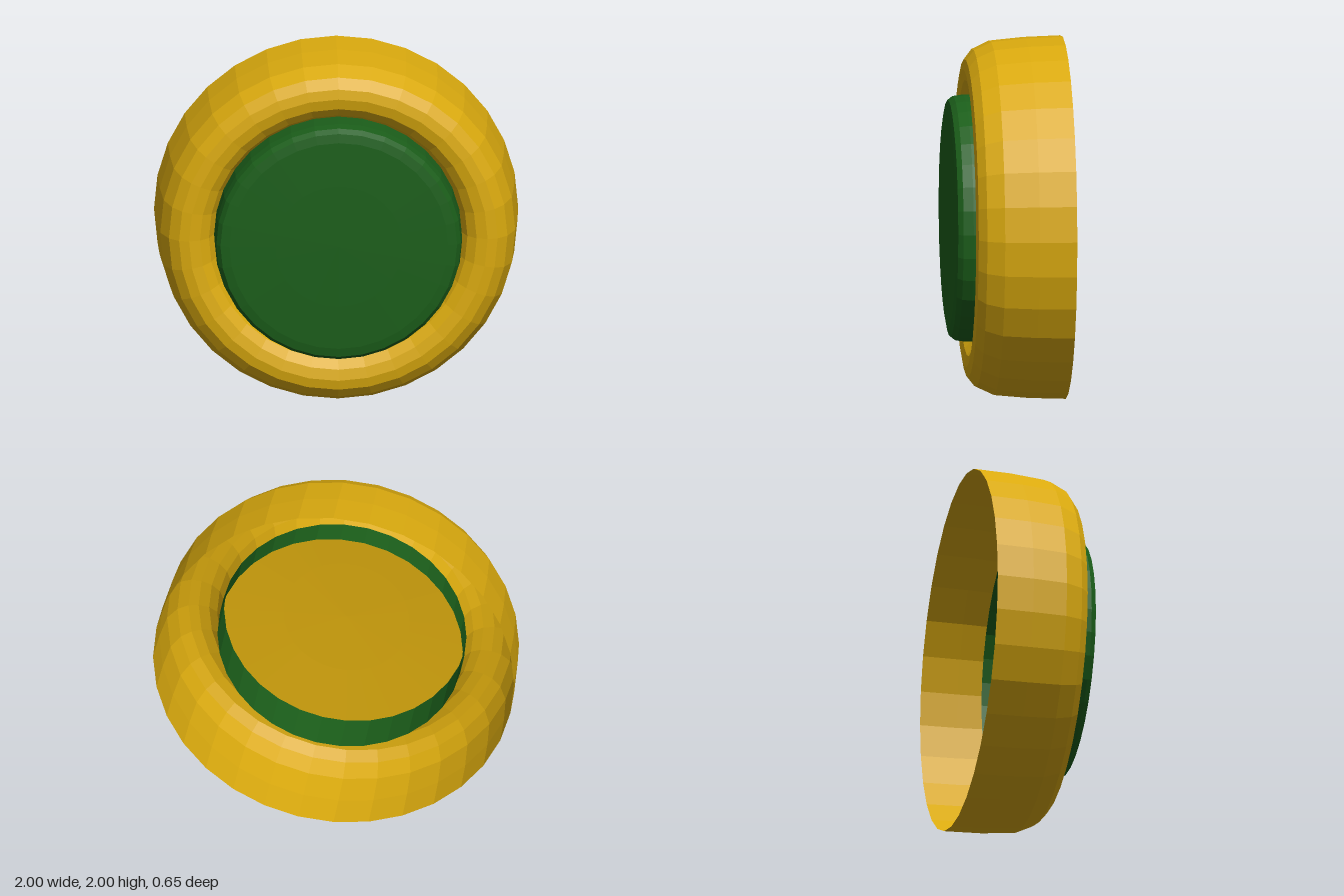
import * as THREE from 'three';

const SEGMENTS = 32;

const paint = (color) =>
  new THREE.MeshStandardMaterial({ color, flatShading: true, side: THREE.DoubleSide });

// Turns a [radius, z] profile around the z axis.
function turned(name, profile, material) {
  const points = profile.map(([r, z]) => new THREE.Vector2(r, z));
  const geometry = new THREE.LatheGeometry(points, SEGMENTS).rotateX(Math.PI / 2);
  const mesh = new THREE.Mesh(geometry, material);
  mesh.name = name;
  mesh.position.y = 1;
  return mesh;
}

export function createModel() {
  const group = new THREE.Group();
  group.name = 'pushButton';
  const yellow = paint(0xd9a90e);
  const green = paint(0x1b5e1a);

  // Thin round shell, open at the back, its front lip curling into the opening
  group.add(turned('housing', [
    [1.0, -0.325], [0.993, -0.12], [0.975, 0.07], [0.93, 0.165], [0.875, 0.208],
    [0.82, 0.218], [0.76, 0.205], [0.71, 0.165], [0.68, 0.1],
  ], yellow));

  // Cap with a rounded edge and a slightly domed face; its skirt reaches inside
  group.add(turned('buttonCap', [
    [0.68, -0.05], [0.68, 0.22], [0.672, 0.275], [0.65, 0.303],
    [0.6, 0.312], [0.35, 0.321], [0, 0.325],
  ], green));

  // Plate closing the inside of the cap
  group.add(turned('innerPlate', [[0.677, 0.2], [0.35, 0.21], [0, 0.215]], yellow));

  return group;
}
